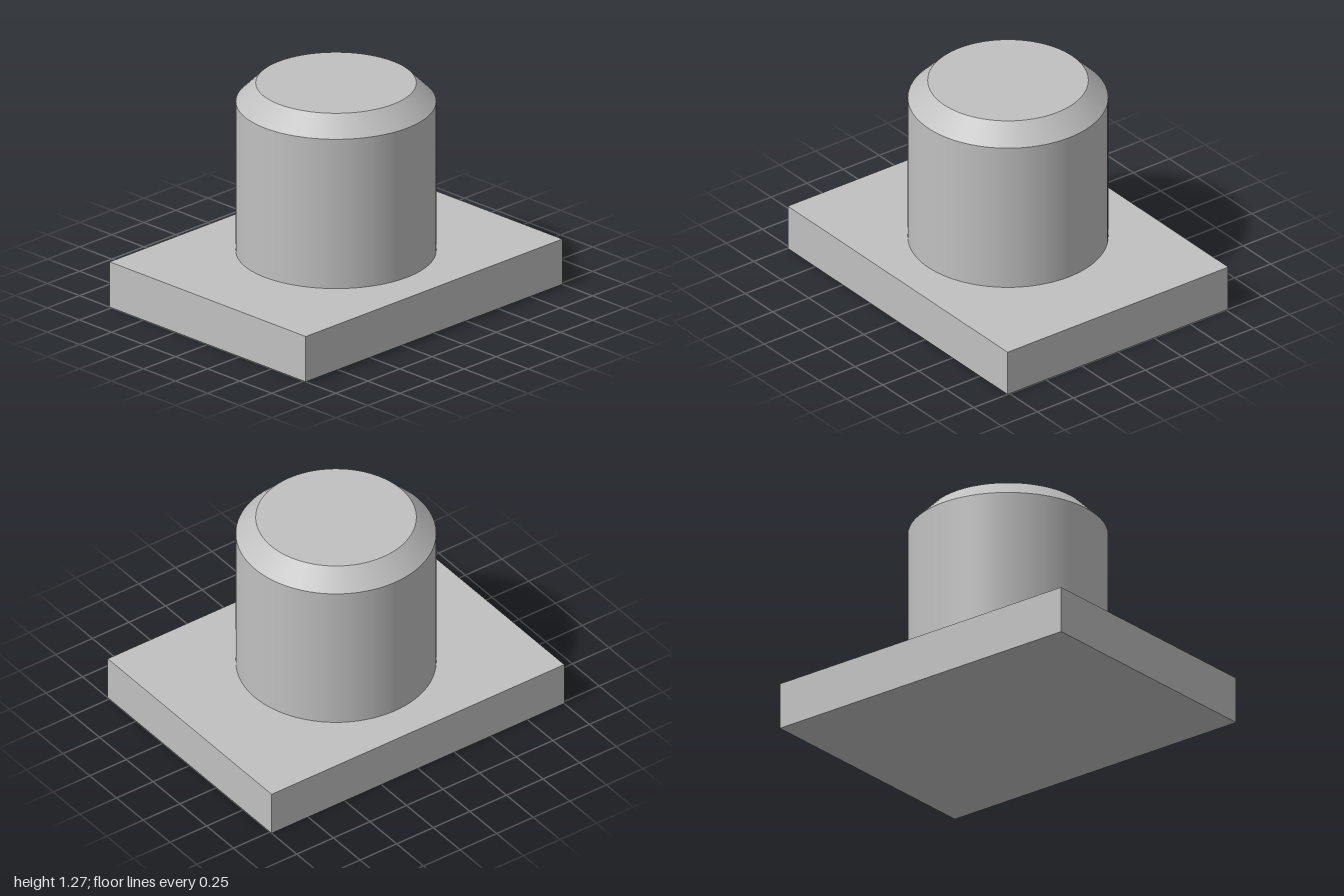
import * as THREE from 'three';

export function createModel() {
  const model = new THREE.Group();
  const grey = new THREE.MeshStandardMaterial({ color: 0xc0c0c0 });
  grey.name = 'light grey';

  const SEGMENTS = 96;
  const RADIUS = 0.553, TOP_RADIUS = 0.443;
  const BASE_TOP = 0.27, SHOULDER = 1.16, TOP = 1.27;

  const add = (name, geometry, y) => {
    const mesh = new THREE.Mesh(geometry, grey);
    mesh.name = name;
    mesh.position.y = y;
    model.add(mesh);
    return mesh;
  };

  // Rectangular base plate
  add('basePlate', new THREE.BoxGeometry(1.53, BASE_TOP, 2), BASE_TOP / 2);

  // Round post, open where it meets the plate and the chamfer
  add('post', new THREE.CylinderGeometry(RADIUS, RADIUS, SHOULDER - BASE_TOP, SEGMENTS, 1, true),
    (BASE_TOP + SHOULDER) / 2);

  // Chamfered rim
  add('chamfer', new THREE.CylinderGeometry(TOP_RADIUS, RADIUS, TOP - SHOULDER, SEGMENTS, 1, true),
    (SHOULDER + TOP) / 2);

  // Flat top face
  add('topFace', new THREE.CircleGeometry(TOP_RADIUS, SEGMENTS), TOP).rotation.x = -Math.PI / 2;

  return model;
}
